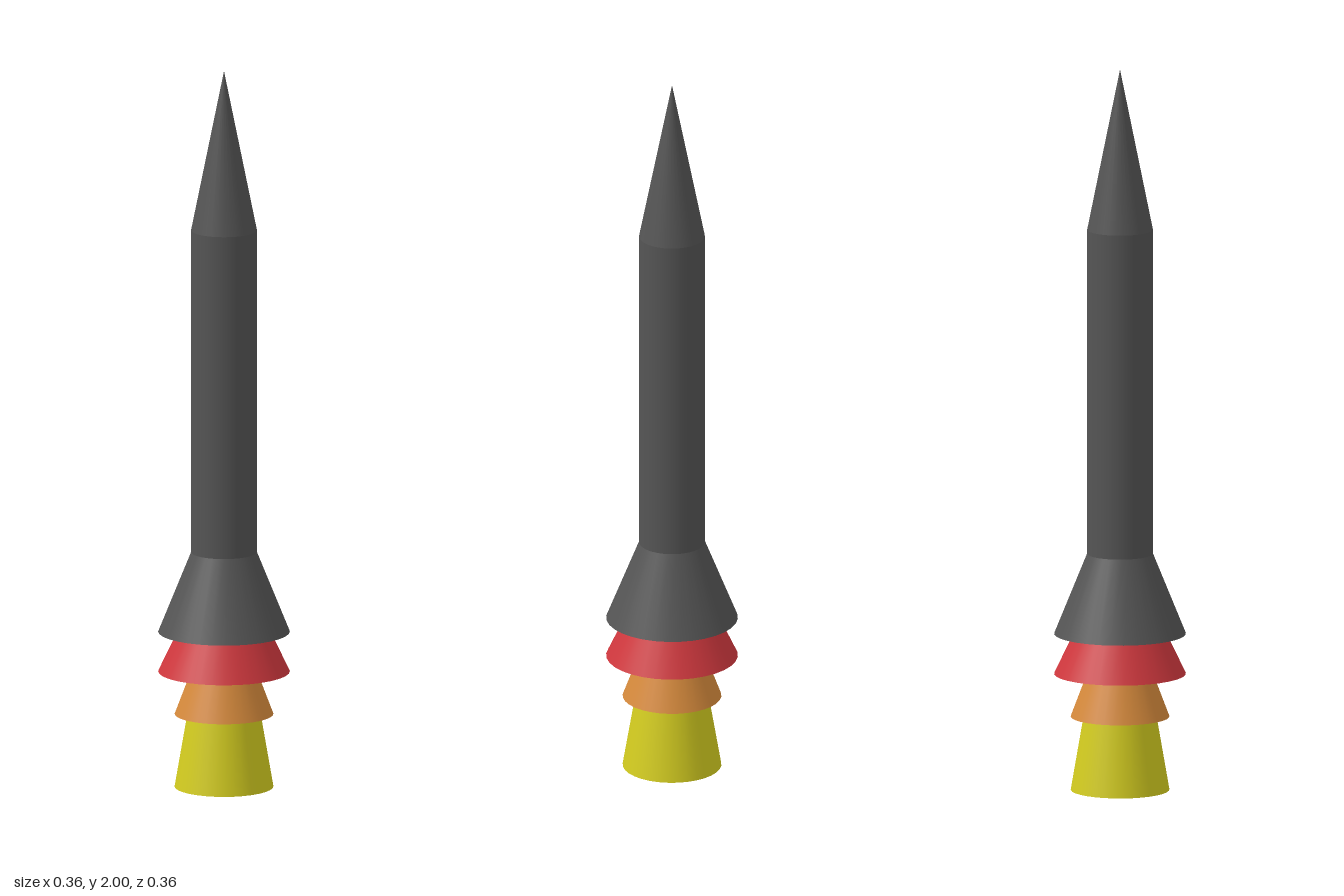
import * as THREE from 'three';

const SIDES = 32;

export function createModel() {
  const model = new THREE.Group();
  const colors = { hull: 0x555555, red: 0xd0383e, orange: 0xd68a3c, yellow: 0xd4cd20 };
  const materials = {};
  for (const key in colors) materials[key] = new THREE.MeshStandardMaterial({ color: colors[key] });

  // Each part is a closed, round section: name, colour, bottom y, top y, bottom radius, top radius
  const sections = [
    ['lowerFlame', 'yellow', 0, 0.203, 0.135, 0.1],
    ['middleFlame', 'orange', 0.203, 0.322, 0.135, 0.09],
    ['upperFlame', 'red', 0.322, 0.433, 0.18, 0.127],
    ['tailSkirt', 'hull', 0.433, 0.655, 0.18, 0.09],
    ['body', 'hull', 0.655, 1.555, 0.09, 0.09],
  ];
  for (const [name, color, y0, y1, r0, r1] of sections) {
    const mesh = new THREE.Mesh(new THREE.CylinderGeometry(r1, r0, y1 - y0, SIDES), materials[color]);
    mesh.name = name;
    mesh.position.y = (y0 + y1) / 2;
    model.add(mesh);
  }

  // Pointed nose
  const nose = new THREE.Mesh(new THREE.ConeGeometry(0.09, 0.445, SIDES), materials.hull);
  nose.name = 'noseCone';
  nose.position.y = 1.555 + 0.445 / 2;
  model.add(nose);

  return model;
}
